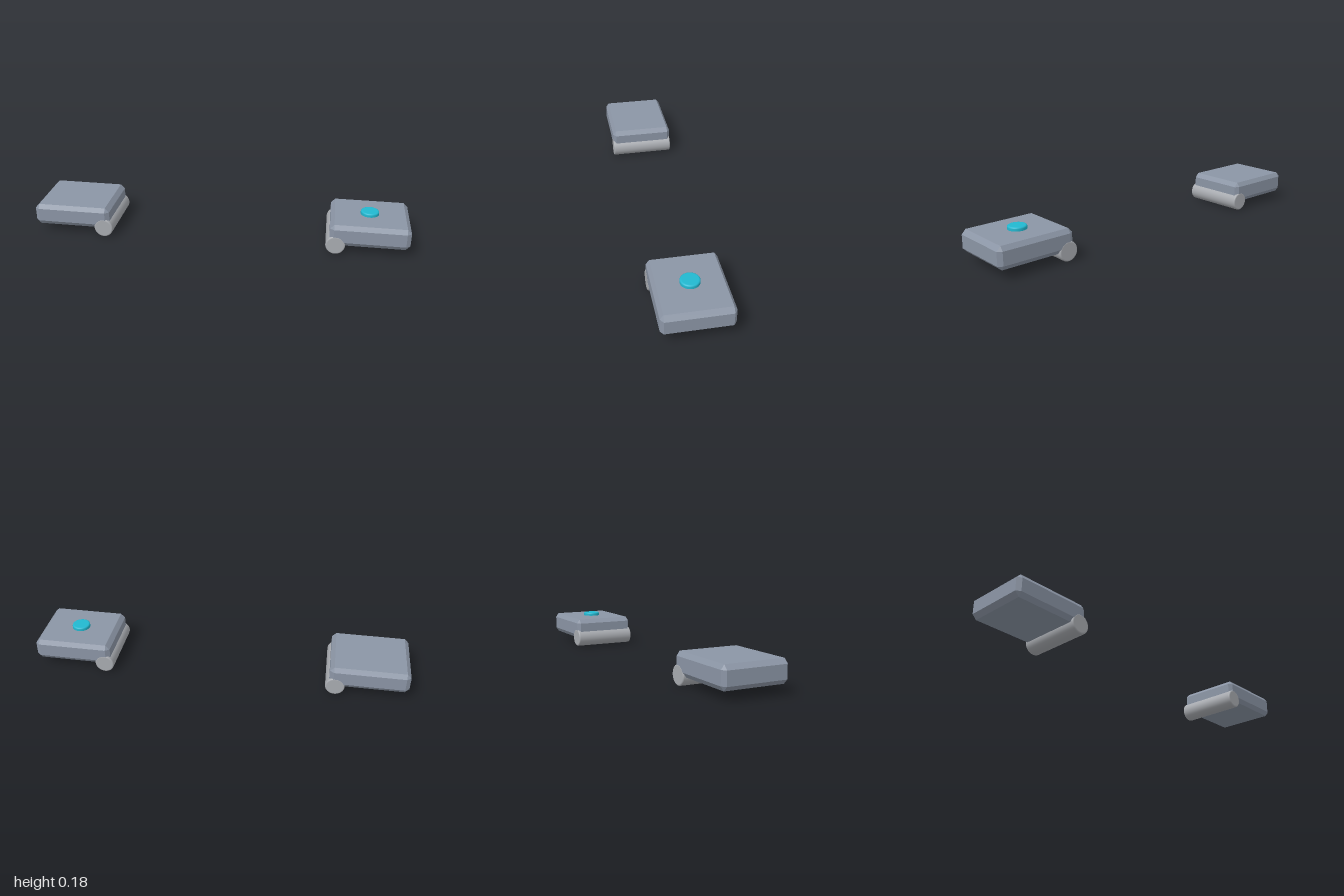
import * as THREE from 'three';
import { ConvexGeometry } from 'three/addons/geometries/ConvexGeometry.js';

const bodyMat = new THREE.MeshStandardMaterial({ color: 0x8b95a5 });
const hingeMat = new THREE.MeshStandardMaterial({ color: 0xa8abb0 });
const buttonMat = new THREE.MeshStandardMaterial({ color: 0x22b8d0 });

// Box with every edge and corner chamfered; half sizes h, chamfer c per axis
function chamferBox(h, c) {
  const points = [];
  for (const sx of [-1, 1]) for (const sy of [-1, 1]) for (const sz of [-1, 1]) {
    for (let full = 0; full < 3; full++) {
      const p = [sx, sy, sz].map((s, i) => s * (h[i] - (i === full ? 0 : c[i])));
      points.push(new THREE.Vector3(...p));
    }
  }
  return new ConvexGeometry(points);
}

// Solid cylinder about y with softly rounded rims, centred at the origin
function roundedCylinder(radius, height, rim) {
  const half = height / 2;
  const profile = [new THREE.Vector2(0, -half), new THREE.Vector2(radius - rim - 0.001, -half)];
  for (const [y, start] of [[-half + rim, -Math.PI / 2], [half - rim, 0]]) {
    for (let i = 0; i <= 4; i++) {
      const a = start + (i / 4) * Math.PI / 2;
      profile.push(new THREE.Vector2(radius - rim + rim * Math.cos(a), y + rim * Math.sin(a)));
    }
  }
  profile.push(new THREE.Vector2(radius - rim - 0.001, half), new THREE.Vector2(0, half));
  return new THREE.LatheGeometry(profile, 40);
}

function addPart(parent, name, geometry, material, x, y, z) {
  const mesh = new THREE.Mesh(geometry, material);
  mesh.name = name;
  mesh.position.set(x, y, z);
  parent.add(mesh);
  return mesh;
}

export function createModel() {
  const model = new THREE.Group();
  model.name = 'clampPair';

  const blockGeometry = chamferBox([0.206, 0.058, 0.173], [0.022, 0.023, 0.016]);
  const hingeGeometry = roundedCylinder(0.051, 0.347, 0.007);

  // Two mirrored blocks, each with a hinge barrel under its inner edge
  for (const [side, s] of [['left', 1], ['right', -1]]) {
    const unit = new THREE.Group();
    unit.name = side + 'Unit';
    addPart(unit, side + 'Block', blockGeometry, bodyMat, s * 0.794, 0.105, 0);
    const hinge = addPart(unit, side + 'HingeBarrel', hingeGeometry, hingeMat, s * 0.621, 0.051, 0);
    hinge.rotation.x = Math.PI / 2;
    model.add(unit);
  }

  // Push button on the left block only
  addPart(model, 'button', roundedCylinder(0.048, 0.036, 0.008), buttonMat, 0.792, 0.164, 0);

  return model;
}
